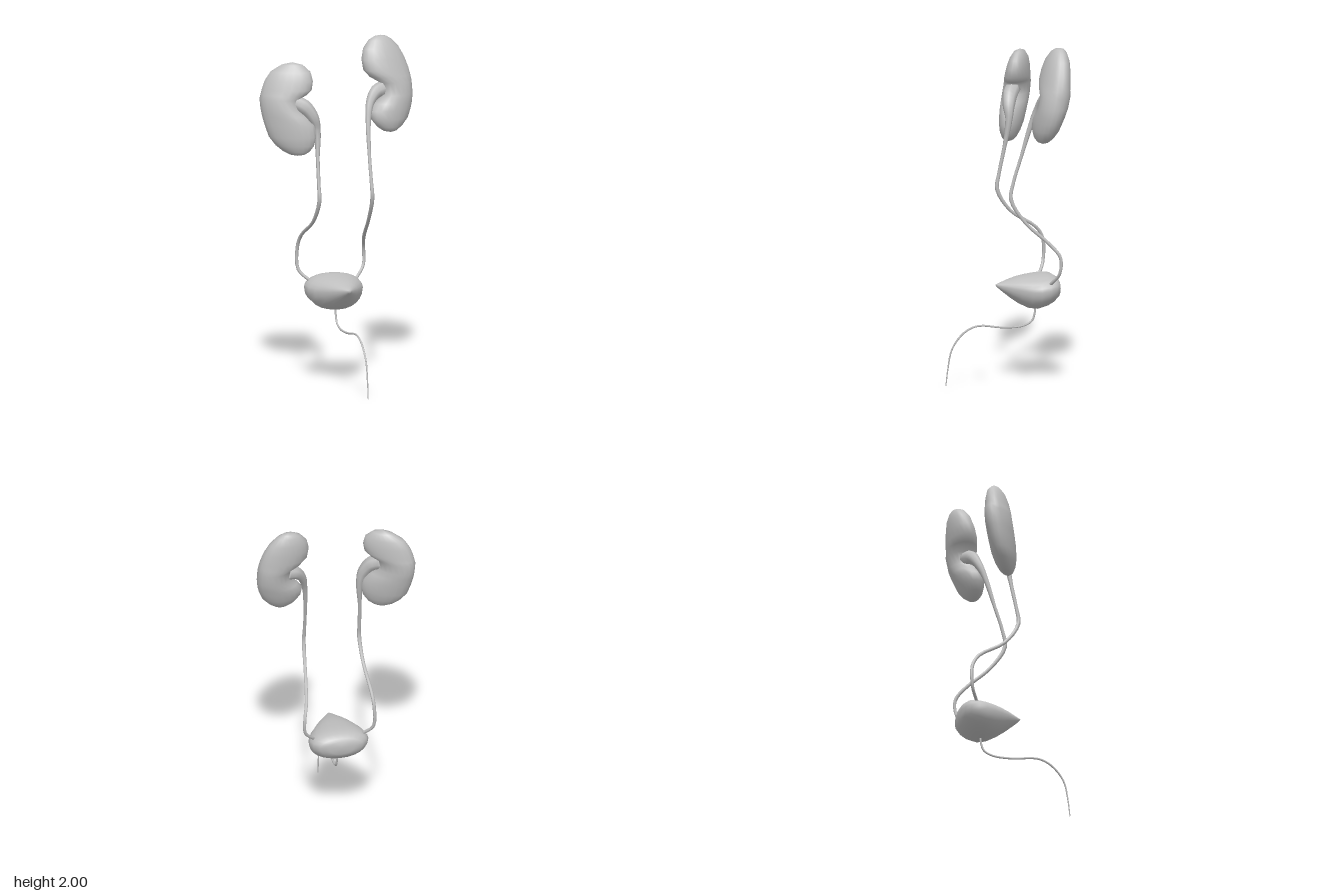
import * as THREE from 'three';
import { mergeVertices } from 'three/addons/utils/BufferGeometryUtils.js';

const grey = new THREE.MeshStandardMaterial({ color: 0xbfbfbf });
grey.name = 'grey';

// Skin closed rings, each listed counter-clockwise around the direction of travel
function loft(name, rings) {
  const n = rings[0].length;
  const index = [];
  for (let i = 0; i < rings.length - 1; i++) {
    for (let j = 0; j < n; j++) {
      const k = (j + 1) % n;
      const a = i * n + j, b = i * n + k, c = (i + 1) * n + k, d = (i + 1) * n + j;
      index.push(a, b, d, b, c, d);
    }
  }
  let geometry = new THREE.BufferGeometry().setFromPoints(rings.flat());
  geometry.setIndex(index);
  geometry = mergeVertices(geometry, 1e-5);
  geometry.computeVertexNormals();
  const mesh = new THREE.Mesh(geometry, grey);
  mesh.name = name;
  return mesh;
}

function ring(n, point) {
  return Array.from({ length: n }, (_, j) => {
    const a = (j / n) * Math.PI * 2;
    return point(Math.cos(a), Math.sin(a));
  });
}

// Horizontal slices [y, xMin, xMax, halfDepth], leaned and turned by zAt(x, y)
function kidney(name, rows, zAt) {
  return loft(name, rows.map(([y, x0, x1, depth]) => ring(20, (c, s) => {
    const x = (x0 + x1) / 2 + c * (x1 - x0) / 2;
    return new THREE.Vector3(x, y, zAt(x, y) - s * depth);
  })));
}

// Tapered duct through stations [x, y, z, radius], closed at both ends
function duct(name, stations, steps, sides) {
  const curve = new THREE.CatmullRomCurve3(
    stations.map(([x, y, z]) => new THREE.Vector3(x, y, z)), false, 'centripetal');
  const rings = [];
  const side = new THREE.Vector3(1, 0.1, 0);
  for (let i = 0; i <= steps; i++) {
    const t = i / steps, f = t * (stations.length - 1);
    const k = Math.min(Math.floor(f), stations.length - 2);
    const r = THREE.MathUtils.lerp(stations[k][3], stations[k + 1][3], f - k);
    const p = curve.getPoint(t), dir = curve.getTangent(t);
    side.addScaledVector(dir, -side.dot(dir)).normalize();
    const up = dir.clone().cross(side);
    const loop = ring(sides, (c, s) =>
      p.clone().addScaledVector(side, c * r).addScaledVector(up, s * r));
    const cap = loop.map(() => p.clone());
    if (i === 0) rings.push(cap);
    rings.push(loop);
    if (i === steps) rings.push(cap);
  }
  return loft(name, rings);
}

export function createModel() {
  const model = new THREE.Group();
  model.name = 'urinarySystem';

  // Kidneys, with the notch on the side facing the middle
  model.add(kidney('leftKidney', [
    [1.45, 0.315, 0.315, 0], [1.46, 0.27, 0.35, 0.03], [1.485, 0.232, 0.385, 0.052],
    [1.53, 0.197, 0.425, 0.07], [1.58, 0.19, 0.446, 0.078], [1.62, 0.222, 0.457, 0.082],
    [1.665, 0.268, 0.463, 0.083], [1.735, 0.264, 0.462, 0.084], [1.77, 0.205, 0.458, 0.083],
    [1.81, 0.17, 0.45, 0.081], [1.87, 0.163, 0.43, 0.074], [1.93, 0.178, 0.398, 0.062],
    [1.975, 0.215, 0.355, 0.042], [1.993, 0.25, 0.325, 0.024], [2.0, 0.29, 0.29, 0],
  ], (x, y) => -0.215 - 0.2 * (y - 1.73) - 0.08 * (x - 0.31)));

  model.add(kidney('rightKidney', [
    [1.36, -0.275, -0.275, 0], [1.367, -0.315, -0.24, 0.025], [1.385, -0.35, -0.212, 0.043],
    [1.42, -0.39, -0.187, 0.06], [1.47, -0.425, -0.174, 0.073], [1.54, -0.445, -0.18, 0.08],
    [1.59, -0.455, -0.222, 0.082], [1.63, -0.46, -0.258, 0.082], [1.685, -0.463, -0.26, 0.08],
    [1.71, -0.457, -0.218, 0.078], [1.74, -0.45, -0.187, 0.075], [1.79, -0.432, -0.178, 0.068],
    [1.84, -0.4, -0.188, 0.055], [1.88, -0.34, -0.228, 0.032], [1.895, -0.283, -0.283, 0],
  ], (x, y) => -0.162 - 0.12 * (y - 1.63) + 0.4 * (x + 0.32)));

  // Ureters, flaring into the kidney notches
  model.add(duct('leftUreter', [
    [0.29, 1.7, -0.205, 0.045], [0.235, 1.685, -0.19, 0.04], [0.19, 1.63, -0.165, 0.026],
    [0.165, 1.54, -0.13, 0.016], [0.15, 1.35, -0.075, 0.01], [0.145, 1.2, -0.03, 0.01],
    [0.146, 1.1, -0.015, 0.012], [0.155, 0.96, -0.1, 0.01], [0.178, 0.83, -0.24, 0.01],
    [0.198, 0.755, -0.295, 0.01], [0.195, 0.66, -0.29, 0.009], [0.135, 0.59, -0.25, 0.009],
  ], 44, 8));

  model.add(duct('rightUreter', [
    [-0.285, 1.665, -0.14, 0.045], [-0.235, 1.64, -0.11, 0.045], [-0.19, 1.58, -0.09, 0.035],
    [-0.167, 1.51, -0.085, 0.021], [-0.172, 1.35, -0.06, 0.011], [-0.177, 1.2, -0.03, 0.01],
    [-0.178, 1.1, -0.018, 0.012], [-0.185, 0.97, -0.1, 0.01], [-0.2, 0.865, -0.255, 0.01],
    [-0.207, 0.79, -0.297, 0.01], [-0.203, 0.66, -0.295, 0.009], [-0.145, 0.595, -0.255, 0.009],
  ], 44, 8));

  // Bladder: upright slices [z, halfWidth, yBottom, yTop] ending in a point at the front
  const slices = [
    [-0.335, 0, 0.56, 0.56], [-0.33, 0.075, 0.515, 0.595], [-0.318, 0.125, 0.492, 0.612],
    [-0.29, 0.158, 0.466, 0.63], [-0.25, 0.173, 0.444, 0.635], [-0.2, 0.168, 0.43, 0.632],
    [-0.15, 0.147, 0.437, 0.627], [-0.1, 0.113, 0.462, 0.62], [-0.05, 0.077, 0.497, 0.607],
    [0, 0.033, 0.538, 0.591], [0.025, 0.012, 0.56, 0.582], [0.038, 0, 0.575, 0.575],
  ];
  model.add(loft('bladder', slices.map(([z, w, y0, y1]) => {
    const mid = y0 + (y1 - y0) * 0.58;
    return ring(24, (c, s) => new THREE.Vector3(
      -0.01 + w * Math.sign(c) * Math.abs(c) ** 0.9, mid + s * (s > 0 ? y1 - mid : mid - y0), z));
  })));

  // Urethra, sweeping forward and down to the base
  model.add(duct('urethra', [
    [-0.01, 0.45, -0.2, 0.006], [-0.01, 0.4, -0.196, 0.006], [-0.01, 0.355, -0.178, 0.006],
    [-0.01, 0.329, -0.125, 0.006], [-0.01, 0.325, -0.01, 0.006], [-0.01, 0.341, 0.14, 0.006],
    [-0.01, 0.307, 0.22, 0.006], [-0.01, 0.217, 0.292, 0.005], [-0.01, 0.1, 0.318, 0.004],
    [-0.01, 0, 0.33, 0.003],
  ], 36, 6));

  return model;
}
